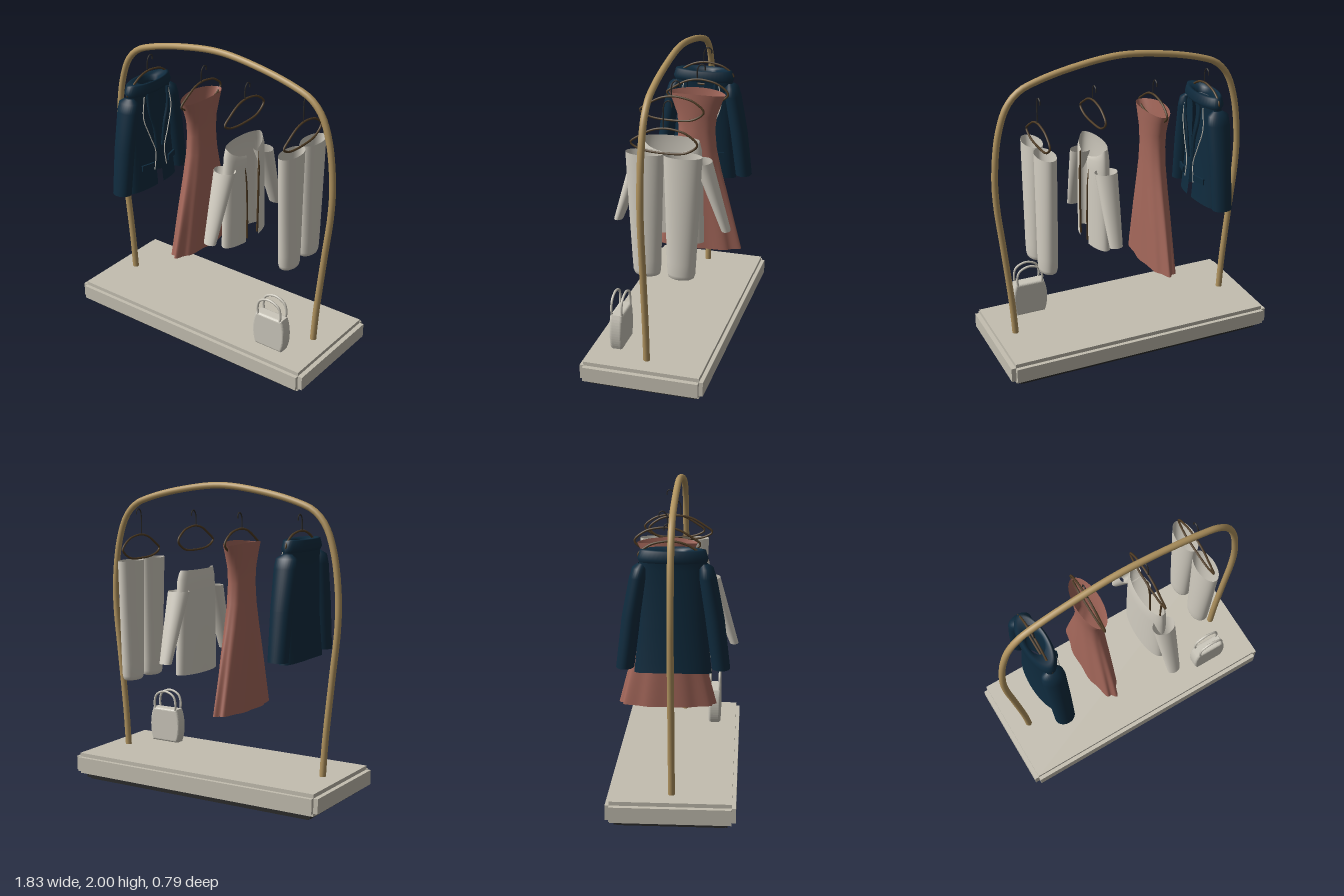
import * as THREE from 'three';

const mat = (name, color) => {
  const m = new THREE.MeshStandardMaterial({ color, side: THREE.DoubleSide });
  m.name = name;
  return m;
};

export function createModel() {
  const root = new THREE.Group();
  root.name = 'clothesRail';
  const M = {
    stone: mat('stone', 0xc3beb0),
    black: mat('blackBase', 0x2a2a2a),
    brass: mat('brass', 0xb0935f),
    navy: mat('navyCloth', 0x0f2b3e),
    rose: mat('roseCloth', 0xa5685b),
    cream: mat('creamCloth', 0xd3cec2),
    bag: mat('bagLeather', 0xcbc7bb),
    wood: mat('hangerWood', 0x4e3b24),
    wire: mat('hookWire', 0x2b2927),
  };
  const add = (parent, name, geo, material, x = 0, y = 0, z = 0) => {
    const m = new THREE.Mesh(geo, material);
    m.name = name;
    m.position.set(x, y, z);
    parent.add(m);
    return m;
  };
  const group = (name, x, z) => {
    const g = new THREE.Group();
    g.name = name;
    g.position.set(x, 0, z);
    root.add(g);
    return g;
  };
  const tube = (pts, r, closed = false, seg = 48, sides = 8) => new THREE.TubeGeometry(
    new THREE.CatmullRomCurve3(pts.map(p => new THREE.Vector3(...p)), closed), seg, r, sides, closed);

  // Elliptical cloth shell through sections [y, rx, rz, zOffset], with an optional opening towards +x
  const shell = (sections, gap = 0, shape = null, n = 40) => {
    const pos = [], idx = [], cols = gap ? n + 1 : n;
    sections.forEach(([y, rx, rz, cz = 0], i) => {
      for (let j = 0; j < cols; j++) {
        const a = gap + (j / n) * (2 * Math.PI - 2 * gap);
        const p = new THREE.Vector3(rx * Math.cos(a), y, cz + rz * Math.sin(a));
        if (shape) shape(p, a, i / (sections.length - 1));
        pos.push(p.x, p.y, p.z);
        if (i < sections.length - 1 && j < n) {
          const k = (j + 1) % cols, b = i * cols, t = b + cols;
          idx.push(b + j, t + j, b + k, b + k, t + j, t + k);
        }
      }
    });
    const g = new THREE.BufferGeometry();
    g.setAttribute('position', new THREE.Float32BufferAttribute(pos, 3));
    g.setIndex(idx);
    g.computeVertexNormals();
    return g;
  };

  // Stepped plinth and recessed foot
  for (const [w, y0, y1, d] of [[1.83, 0.06, 0.155, 0.74], [1.77, 0.06, 0.155, 0.79], [1.77, 0.04, 0.18, 0.74]])
    add(root, 'plinth', new THREE.BoxGeometry(w, y1 - y0, d), M.stone, 0, (y0 + y1) / 2, 0);
  for (const [w, y0, y1, d] of [[1.7, 0.012, 0.042, 0.69], [1.66, 0, 0.05, 0.66]])
    add(root, 'plinthFoot', new THREE.BoxGeometry(w, y1 - y0, d), M.black, 0, (y0 + y1) / 2, 0);

  // Bent rail, mirrored from one half
  const half = [[0.755, 0.17], [0.77, 0.4], [0.81, 0.8], [0.843, 1.12], [0.845, 1.32], [0.81, 1.59],
    [0.75, 1.755], [0.67, 1.84], [0.56, 1.886], [0.31, 1.945]];
  add(root, 'rail', tube([...half.map(([x, y]) => [-x, y, 0]), [0, 1.979, 0],
    ...half.slice().reverse().map(([x, y]) => [x, y, 0])], 0.021, false, 110, 16), M.brass);

  // Hanger: leaf-shaped loop with a wire hook
  const hanger = (g, drop = 0) => {
    add(g, 'hangerLoop', tube([[0, 1.715, 0], [0, 1.70, 0.07], [0, 1.655, 0.15], [0, 1.61, 0.205],
      [0, 1.575, 0.15], [0, 1.56, 0], [0, 1.575, -0.14], [0, 1.63, -0.205], [0, 1.69, -0.14],
      [0, 1.712, -0.06]], 0.007, true, 64), M.wood, 0, -drop, 0);
    add(g, 'hangerHook', tube([[0, 1.71 - drop, 0], [0, 1.77, 0], [0, 1.80, -0.008], [0, 1.817, -0.03],
      [0, 1.805, -0.05], [0, 1.78, -0.052]], 0.0045, false, 24, 6), M.wire);
  };

  // Navy jacket
  const navy = group('navyJacket', -0.59, 0);
  hanger(navy);
  add(navy, 'jacketBody', shell([[0.91, 0.09, 0.235], [1.0, 0.083, 0.225], [1.2, 0.07, 0.205],
    [1.4, 0.068, 0.2], [1.55, 0.067, 0.2], [1.605, 0.075, 0.2]], 0.12,
  (p, a, t) => { p.y -= 0.02 * (1 - t) * Math.cos(a) ** 2 * (t < 0.1 ? -1 : 0); }), M.navy);
  add(navy, 'jacketCollar', shell([[1.59, 0.07, 0.2], [1.615, 0.088, 0.21], [1.665, 0.075, 0.195],
    [1.67, 0.068, 0.17], [1.655, 0.052, 0.09], [1.62, 0.05, 0.08]]), M.navy);
  for (const s of [1, -1]) {
    add(navy, 'jacketSleeve', shell([[0.94, 0.066, 0.055, 0.29 * s], [1.25, 0.072, 0.058, 0.25 * s],
      [1.5, 0.077, 0.055, 0.205 * s], [1.56, 0.07, 0.045, 0.195 * s], [1.585, 0.03, 0.02, 0.185 * s]], 0, null, 28), M.navy);
    add(navy, 'jacketLapel', tube([[0.078, 1.6, s * 0.1], [0.085, 1.48, s * 0.09], [0.088, 1.35, s * 0.05],
      [0.085, 1.2, s * 0.03]], 0.01, false, 24, 6), M.navy);
    add(navy, 'jacketPiping', tube([[0.07, 1.59, s * 0.12], [0.075, 1.45, s * 0.14], [0.085, 1.3, s * 0.09],
      [0.09, 1.18, s * 0.045], [0.092, 1.05, s * 0.06]], 0.0035, false, 32, 6), M.cream);
    add(navy, 'jacketPocket', new THREE.BoxGeometry(0.012, 0.04, 0.095), M.navy, 0.084, 1.09, s * 0.12)
      .rotation.y = -s * 0.25;
  }

  // Rose dress with a fluted skirt
  const dress = group('roseDress', -0.195, -0.06);
  hanger(dress);
  add(dress, 'dressBody', shell([[0.565, 0.088, 0.305], [0.75, 0.086, 0.26], [0.92, 0.083, 0.218],
    [1.1, 0.078, 0.17], [1.25, 0.073, 0.135], [1.38, 0.07, 0.122], [1.48, 0.072, 0.132],
    [1.57, 0.077, 0.165], [1.635, 0.08, 0.188]], 0, (p, a, t) => {
    const f = 1 + 0.045 * (1 - t) ** 2 * Math.cos(9 * a);
    p.x *= f;
    p.z *= f;
    if (t === 1) p.y += 0.008 * Math.cos(2 * a) - 0.006;
  }, 90), M.rose);

  // Cream jacket, open at the front
  const cream = group('creamJacket', 0.19, 0);
  hanger(cream);
  add(cream, 'jacketBody', shell([[0.76, 0.072, 0.215], [0.95, 0.073, 0.21], [1.15, 0.073, 0.205],
    [1.3, 0.072, 0.2], [1.38, 0.07, 0.195], [1.44, 0.062, 0.18]], 0.32,
  (p, a, t) => { if (t > 0.7) p.y -= 0.07 * Math.max(0, Math.cos(a)) * (t - 0.7) / 0.3; }), M.cream);
  for (const s of [1, -1]) {
    add(cream, 'jacketSleeve', shell([[0.86, 0.043, 0.029, 0.357 * s], [1.08, 0.059, 0.043, 0.282 * s],
      [1.31, 0.074, 0.058, 0.203 * s]], 0, null, 28), M.cream);
    add(cream, 'jacketTrim', tube([[0.055, 1.35, s * 0.085], [0.066, 1.2, s * 0.068], [0.07, 1.0, s * 0.06],
      [0.07, 0.785, s * 0.055]], 0.007, false, 24, 8), M.wood);
  }

  // Cream trousers
  const trousers = group('creamTrousers', 0.58, -0.065);
  hanger(trousers, 0.07);
  for (const s of [1, -1])
    add(trousers, 'trouserLeg', shell([[0.69, 0.001, 0.001, 0.108 * s], [0.69, 0.045, 0.07, 0.108 * s],
      [0.697, 0.054, 0.08, 0.108 * s], [0.72, 0.059, 0.087, 0.109 * s], [0.8, 0.061, 0.091, 0.11 * s],
      [1.15, 0.061, 0.105, 0.115 * s], [1.485, 0.061, 0.118, 0.118 * s]], 0, null, 32), M.cream);

  // Handbag: rounded barrel outline with two looped handles
  const bag = group('handbag', 0.578, 0.222);
  const o = new THREE.Shape();
  o.moveTo(-0.085, 0.195);
  o.lineTo(0.085, 0.195);
  o.quadraticCurveTo(0.1, 0.195, 0.102, 0.393);
  o.quadraticCurveTo(0.1, 0.4, 0.085, 0.4);
  o.lineTo(-0.085, 0.4);
  o.quadraticCurveTo(-0.1, 0.4, -0.102, 0.393);
  const outline = new THREE.Shape();
  outline.moveTo(-0.09, 0.195);
  outline.lineTo(0.09, 0.195);
  outline.bezierCurveTo(0.112, 0.25, 0.112, 0.34, 0.088, 0.4);
  outline.lineTo(-0.088, 0.4);
  outline.bezierCurveTo(-0.112, 0.34, -0.112, 0.25, -0.09, 0.195);
  const body = new THREE.ExtrudeGeometry(outline, {
    depth: 0.05, bevelEnabled: true, bevelThickness: 0.017, bevelSize: 0.015, bevelSegments: 4, curveSegments: 12,
  });
  body.translate(0, 0, -0.025);
  add(bag, 'bagBody', body, M.bag);
  for (const z of [0.033, -0.033])
    add(bag, 'bagHandle', tube([[-0.082, 0.4, z], [-0.088, 0.45, z], [-0.07, 0.507, z], [0, 0.535, z],
      [0.07, 0.507, z], [0.088, 0.45, z], [0.082, 0.4, z]], 0.008, false, 40, 8), M.bag);

  return root;
}
